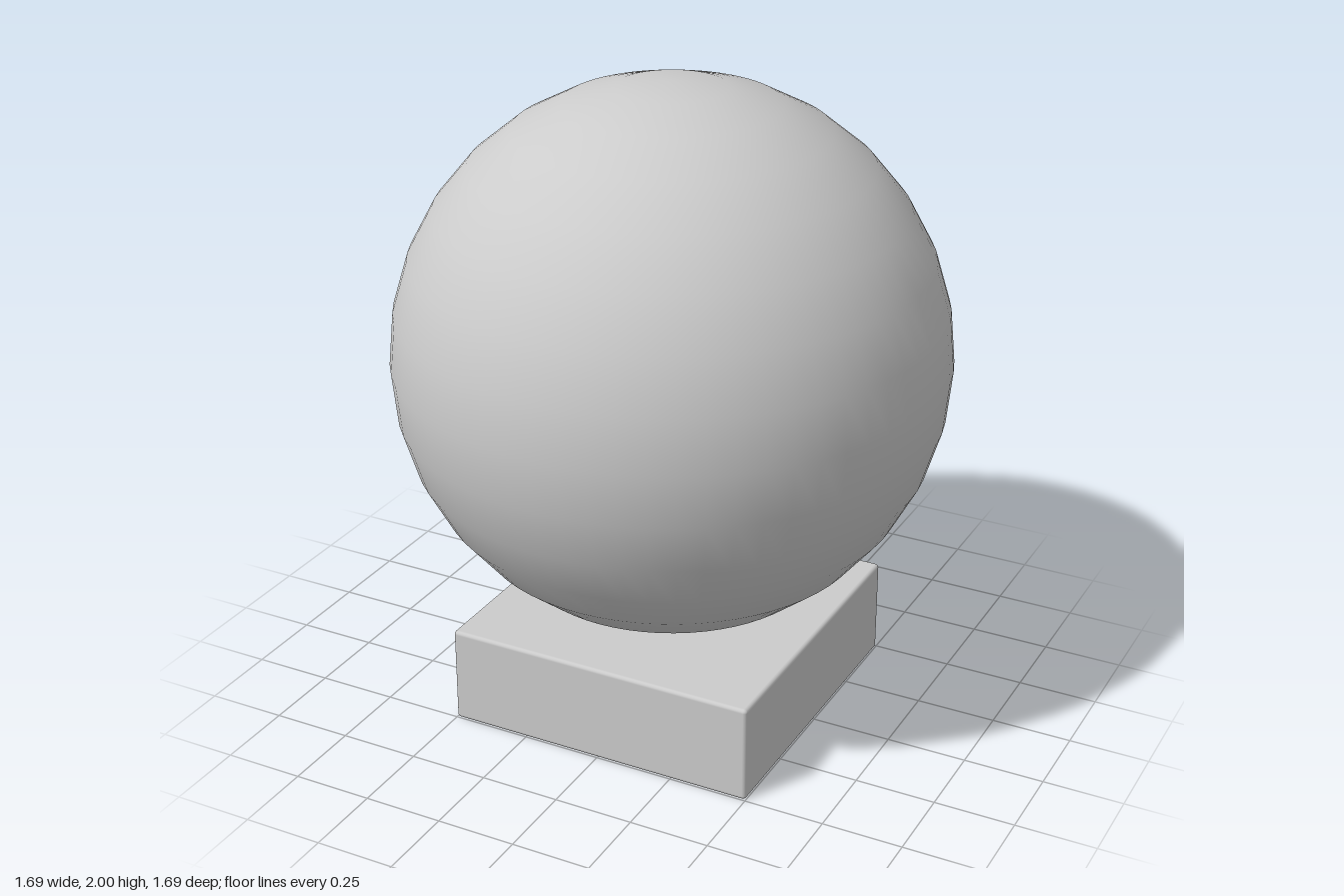
import * as THREE from 'three';
import { RoundedBoxGeometry } from 'three/addons/geometries/RoundedBoxGeometry.js';

export function createModel() {
  const model = new THREE.Group();
  const grey = new THREE.MeshStandardMaterial({ color: 0xcccccc });

  function add(name, geometry, y) {
    const mesh = new THREE.Mesh(geometry, grey);
    mesh.name = name;
    mesh.position.y = y;
    model.add(mesh);
  }

  // Ball resting on the plinth
  add('ball', new THREE.SphereGeometry(0.845, 64, 16), 1.155);

  // Thin collar where the ball meets the plinth
  add('collar', new THREE.CylinderGeometry(0.165, 0.175, 0.02, 64, 1, true), 0.318);

  // Square plinth with a slim edge bevel
  add('plinth', new RoundedBoxGeometry(1, 0.31, 1, 2, 0.012), 0.155);

  return model;
}
